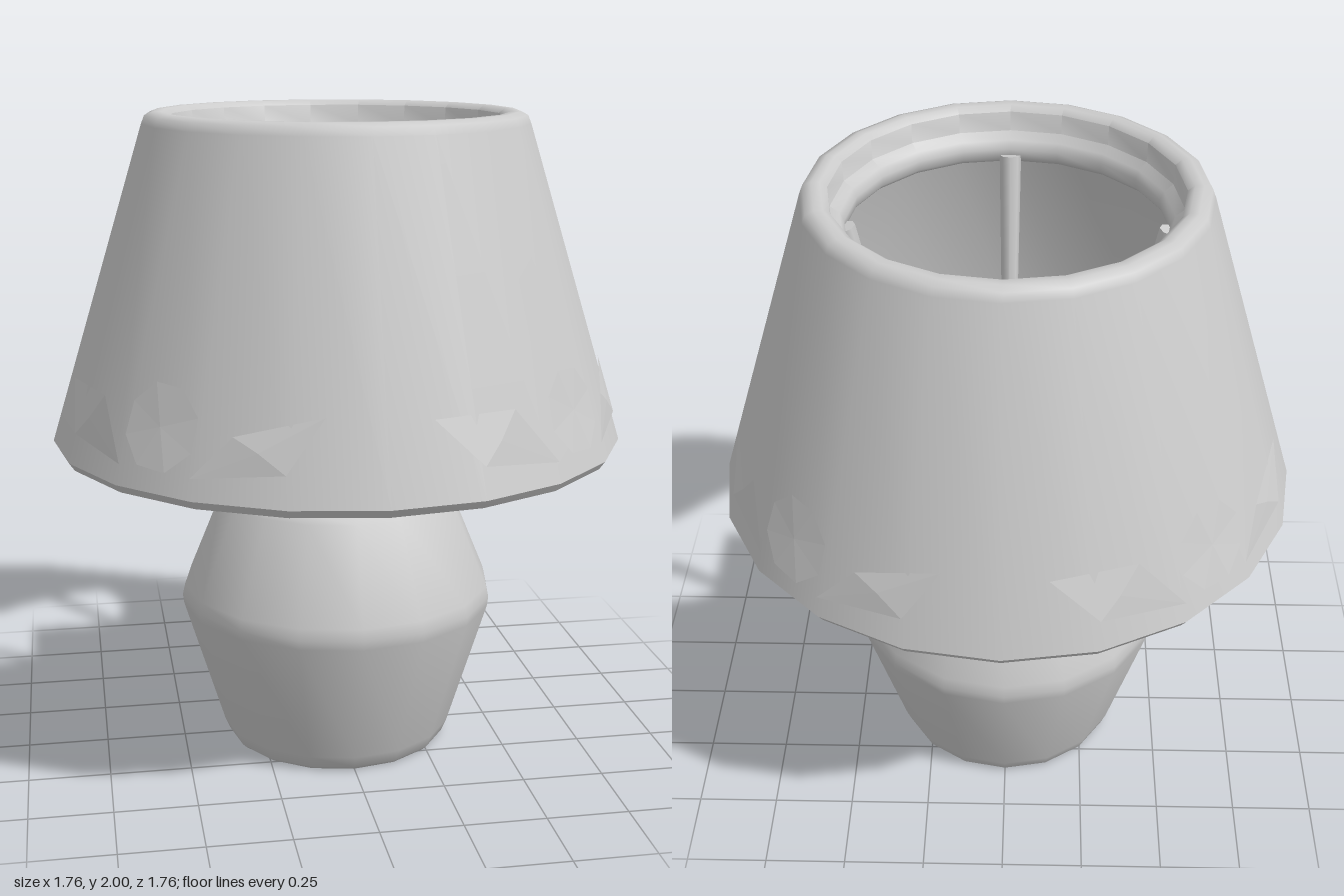
import * as THREE from 'three';
import { toCreasedNormals } from 'three/addons/utils/BufferGeometryUtils.js';

const grey = new THREE.MeshStandardMaterial({ color: 0xcccccc });
grey.name = 'light grey';

// Radius of the shade's outer wall at height y
const shadeRadius = (y) => 0.88 - (y - 1.01) * 0.309;

function add(parent, name, geometry) {
  const mesh = new THREE.Mesh(geometry, grey);
  mesh.name = name;
  parent.add(mesh);
  return mesh;
}

// Turned part from [radius, height] pairs, sharp above the crease angle
function turned(profile, sides, crease = 0.9, start = 0) {
  const points = profile.map(([r, y]) => new THREE.Vector2(r, y));
  return toCreasedNormals(new THREE.LatheGeometry(points, sides, start), crease);
}

// Thin patch on the shade from [degrees, height] corners, anticlockwise seen from outside
function shadePatch(corners) {
  const place = ([deg, y], lift) => {
    const a = THREE.MathUtils.degToRad(deg);
    const r = shadeRadius(y) + lift;
    return [r * Math.sin(a), y, r * Math.cos(a)];
  };
  const n = corners.length;
  const middle = [0, 1].map((k) => corners.reduce((s, c) => s + c[k], 0) / n);
  const positions = [];
  corners.forEach((c, i) => {
    positions.push(...place(middle, 0.006), ...place(c, 0.008), ...place(corners[(i + 1) % n], 0.008));
  });
  const geometry = new THREE.BufferGeometry();
  geometry.setAttribute('position', new THREE.Float32BufferAttribute(positions, 3));
  geometry.computeVertexNormals();
  return geometry;
}

export function createModel() {
  const lamp = new THREE.Group();
  lamp.name = 'tableLamp';

  // Pot-shaped base
  add(lamp, 'base', turned([
    [0, 0], [0.34, 0], [0.352, 0.012], [0.368, 0.05],
    [0.492, 0.455], [0.496, 0.485], [0.488, 0.52],
    [0.37, 0.805], [0.35, 0.83], [0.26, 0.865], [0, 0.865],
  ], 16));

  // Collar and lamp holder
  add(lamp, 'collar', turned([
    [0, 0.855], [0.255, 0.855], [0.268, 0.868], [0.268, 0.892], [0.255, 0.905], [0, 0.905],
  ], 16, 0.7));
  add(lamp, 'socket', turned([[0.215, 0.9], [0.165, 1.05], [0, 1.05]], 16, 0.7));

  // Faceted four-sided bulb
  add(lamp, 'bulb', turned([
    [0, 1.03], [0.15, 1.04], [0.34, 1.3], [0, 1.52],
  ], 4, 0.1, Math.PI / 4));

  // Hollow shade with rounded rims and an inner ledge at the top
  add(lamp, 'shade', turned([
    [0.84, 0.985], [0.862, 0.985], [0.88, 1.01],
    [0.585, 1.965], [0.575, 1.99], [0.55, 2], [0.525, 2], [0.505, 1.985],
    [0.502, 1.925], [0.475, 1.905], [0.463, 1.88], [0.466, 1.85], [0.48, 1.835], [0.592, 1.825],
    [0.842, 1.01], [0.84, 0.985],
  ], 20));

  // Four tapering rods carrying the shade
  const low = new THREE.Vector3(0, 0.88, 0.242);
  const high = new THREE.Vector3(0, 1.86, 0.465);
  const direction = high.clone().sub(low);
  const rodGeometry = new THREE.CylinderGeometry(0.033, 0.017, direction.length(), 8);
  rodGeometry.applyQuaternion(new THREE.Quaternion().setFromUnitVectors(
    new THREE.Vector3(0, 1, 0), direction.clone().normalize()));
  const middle = low.clone().add(high).multiplyScalar(0.5);
  rodGeometry.translate(middle.x, middle.y, middle.z);

  // Flower with two leaves, centred on zero degrees
  const petals = [];
  for (let i = 0; i < 8; i++) {
    const a = ((i + 0.4) / 8) * Math.PI * 2;
    petals.push([8.9 * Math.cos(a), 1.19 + 0.122 * Math.sin(a)]);
  }
  const flowerGeometry = shadePatch(petals);
  const leftLeaf = shadePatch([[-35.8, 1.235], [-26.5, 1.1], [-8.7, 1.07], [-17.8, 1.235]]);
  const rightLeaf = shadePatch([[8.3, 1.07], [26.5, 1.1], [33.5, 1.25], [16, 1.19]]);

  for (let i = 0; i < 4; i++) {
    const turn = (i * Math.PI) / 2;
    add(lamp, 'shadeRod', rodGeometry).rotation.y = turn;
    const motif = new THREE.Group();
    motif.name = 'flowerMotif';
    motif.rotation.y = turn + Math.PI / 4;
    add(motif, 'flower', flowerGeometry);
    add(motif, 'leftLeaf', leftLeaf);
    add(motif, 'rightLeaf', rightLeaf);
    lamp.add(motif);
  }
  return lamp;
}
